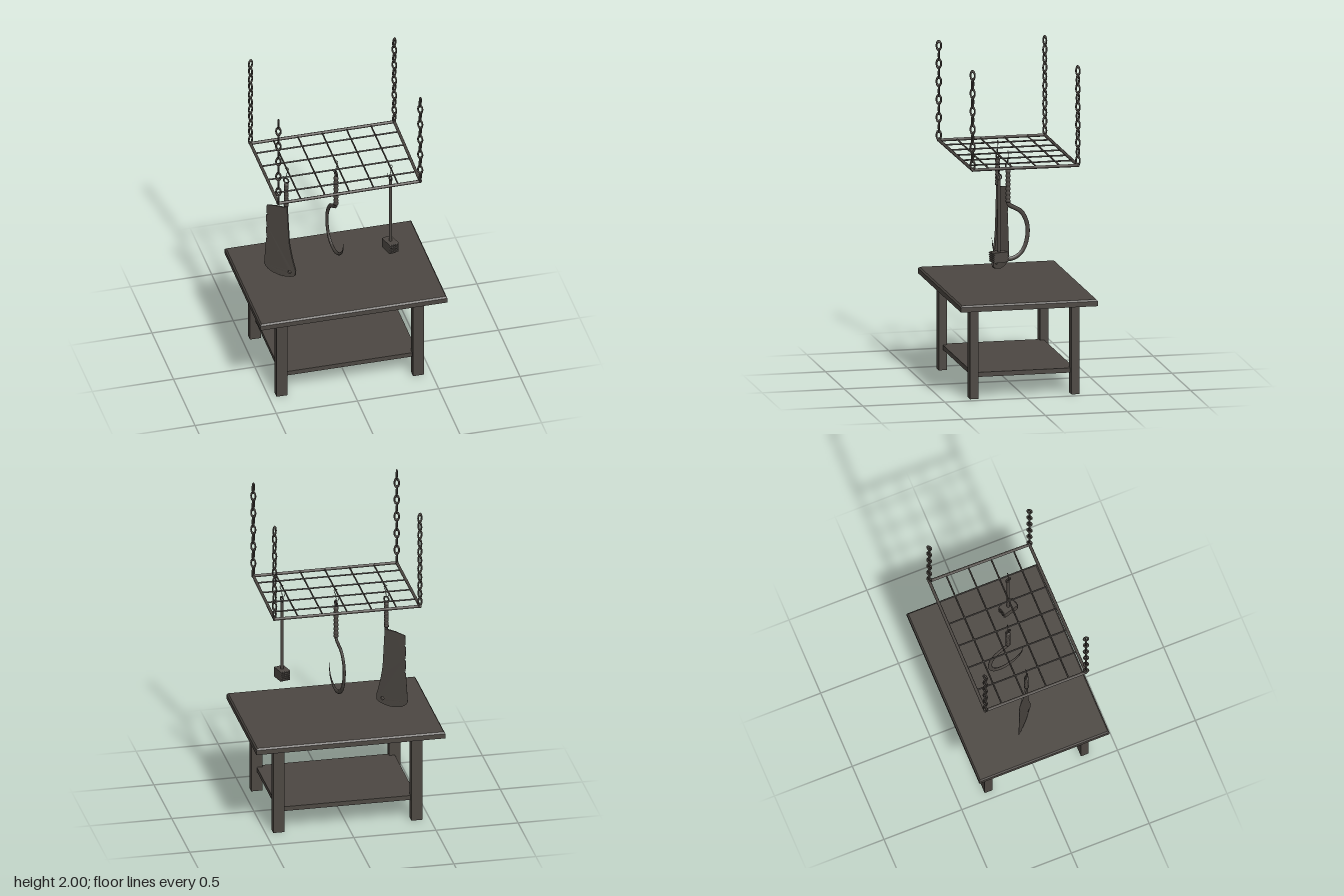
import * as THREE from 'three';

const dark = new THREE.MeshStandardMaterial({ color: 0x4c4742, side: THREE.DoubleSide });

function add(parent, name, geometry, x = 0, y = 0, z = 0) {
  const mesh = new THREE.Mesh(geometry, dark);
  mesh.name = name;
  mesh.position.set(x, y, z);
  parent.add(mesh);
  return mesh;
}

function group(parent, name, x = 0, y = 0, z = 0, yaw = 0) {
  const g = new THREE.Group();
  g.name = name;
  g.position.set(x, y, z);
  g.rotation.y = yaw;
  parent.add(g);
  return g;
}

// Round bar between two points
function bar(parent, name, a, b, radius) {
  const from = new THREE.Vector3(...a), to = new THREE.Vector3(...b);
  const dir = to.clone().sub(from);
  const mesh = add(parent, name, new THREE.CylinderGeometry(radius, radius, dir.length(), 8));
  mesh.position.copy(from).add(to).multiplyScalar(0.5);
  mesh.quaternion.setFromUnitVectors(new THREE.Vector3(0, 1, 0), dir.normalize());
}

// Tube with an oval section that tapers to a point
function taperedTube(curve, segments, sides, width, thickness) {
  const pos = [], index = [];
  for (let i = 0; i <= segments; i++) {
    const t = i / segments, p = curve.getPointAt(t), d = curve.getTangentAt(t);
    const s = t < 0.7 ? 1 : Math.max(0.02, 1 - (t - 0.7) / 0.3);
    for (let j = 0; j < sides; j++) {
      const a = (j / sides) * Math.PI * 2;
      const r = Math.cos(a) * width * s;
      pos.push(p.x - d.y * r, p.y + d.x * r, Math.sin(a) * thickness * s);
      if (i < segments) {
        const k = i * sides + j, n = i * sides + (j + 1) % sides;
        index.push(k, k + sides, n, n, k + sides, n + sides);
      }
    }
  }
  const g = new THREE.BufferGeometry();
  g.setAttribute('position', new THREE.Float32BufferAttribute(pos, 3));
  g.setIndex(index);
  g.computeVertexNormals();
  return g;
}

// Ribbed grip hanging below a ring
function ribbedHandle(parent, bottom, top) {
  const pts = [new THREE.Vector2(0, bottom), new THREE.Vector2(0.015, bottom), new THREE.Vector2(0.015, bottom + 0.012)];
  const ribs = 7, step = (top - bottom - 0.02) / ribs;
  for (let i = 0; i < ribs; i++) {
    const y = bottom + 0.014 + i * step;
    pts.push(new THREE.Vector2(0.011, y), new THREE.Vector2(0.0145, y + step * 0.3), new THREE.Vector2(0.0145, y + step * 0.7));
  }
  pts.push(new THREE.Vector2(0.009, top), new THREE.Vector2(0, top));
  add(parent, 'handle', new THREE.LatheGeometry(pts, 10));
}

function hangingRing(parent, y = 1.31) {
  add(parent, 'hangingRing', new THREE.TorusGeometry(0.016, 0.005, 6, 14), 0, y, 0);
}

// Thin wire hook joining a rack bar to a tool ring
function wireHook(parent, x, z) {
  const pts = [[-0.018, 1.345], [-0.014, 1.328], [-0.004, 1.328], [0, 1.345], [0.004, 1.37],
    [0.012, 1.393], [0.004, 1.403], [-0.008, 1.395]];
  const curve = new THREE.CatmullRomCurve3(pts.map(([a, b]) => new THREE.Vector3(a, b, 0)));
  add(parent, 'wireHook', new THREE.TubeGeometry(curve, 24, 0.002, 5), x, 0, z);
}

function buildTable(root) {
  const table = group(root, 'table');
  const top = new THREE.BoxGeometry(1.15, 0.04, 0.835, 1, 2, 1);
  const p = top.attributes.position;
  for (let i = 0; i < p.count; i++) {
    // Chamfered upper edge
    if (Math.abs(p.getY(i)) < 0.001) p.setY(i, 0.01);
    else if (p.getY(i) > 0) p.setXYZ(i, p.getX(i) * 0.986, p.getY(i), p.getZ(i) * 0.98);
  }
  const flat = top.toNonIndexed();
  flat.computeVertexNormals();
  add(table, 'tableTop', flat, 0, 0.576, 0);
  add(table, 'lowerShelf', new THREE.BoxGeometry(0.84, 0.028, 0.62), 0, 0.14, 0);
  for (const sx of [-1, 1]) for (const sz of [-1, 1])
    add(table, 'tableLeg', new THREE.BoxGeometry(0.068, 0.56, 0.05), sx * 0.42, 0.28, sz * 0.309);
}

function buildRack(root) {
  const rack = group(root, 'hangingRack');
  const y = 1.39;
  const corners = [[-0.44, -0.325], [0.445, -0.325], [0.435, 0.315], [-0.44, 0.322]];
  corners.forEach(([x, z], i) => {
    const [nx, nz] = corners[(i + 1) % 4];
    bar(rack, 'frameBar', [x, y, z], [nx, y, nz], 0.0095);
    add(rack, 'frameCorner', new THREE.SphereGeometry(0.011, 8, 6), x, y, z);
    // Chain of alternately turned links
    const chain = group(rack, 'chain', x, 0, z, 0.5 + i * 0.25);
    for (let k = 0; k < 11; k++) {
      const link = add(chain, 'chainLink', new THREE.TorusGeometry(0.014, 0.0055, 6, 14), 0, 1.419 + k * 0.0546, 0);
      link.geometry.scale(1, 1.8, 1);
      link.rotation.y = k % 2 ? Math.PI / 2 : 0;
    }
  });
  for (let i = -2; i <= 2; i++) bar(rack, 'gridBar', [i * 0.15, y, -0.325], [i * 0.15, y, 0.318], 0.005);
  for (const z of [-0.218, -0.077, 0.068, 0.212]) bar(rack, 'gridBar', [-0.44, y, z], [0.44, y, z], 0.005);
}

function buildCleaver(root) {
  const cleaver = group(root, 'cleaver', -0.305, 0, -0.006, -0.715);
  const s = new THREE.Shape();
  s.moveTo(0.008, 1.115);
  s.lineTo(-0.06, 1.112);
  s.lineTo(-0.128, 1.1);
  // Nicked cutting edge
  for (const y of [1.03, 0.94, 0.86]) {
    s.lineTo(-0.131, y + 0.008);
    s.lineTo(-0.12, y);
    s.lineTo(-0.133, y - 0.004);
  }
  s.lineTo(-0.146, 0.67);
  s.quadraticCurveTo(-0.125, 0.618, -0.03, 0.617);
  s.quadraticCurveTo(0.04, 0.622, 0.062, 0.645);
  s.lineTo(0.064, 0.68);
  s.quadraticCurveTo(0.036, 0.77, 0.022, 0.87);
  s.lineTo(0.008, 1.115);
  const hole = new THREE.Path();
  hole.absarc(0.024, 0.66, 0.011, 0, Math.PI * 2, true);
  s.holes.push(hole);
  const blade = new THREE.ExtrudeGeometry(s, { depth: 0.012, bevelEnabled: false, curveSegments: 6 });
  blade.translate(0, 0, -0.006);
  const p = blade.attributes.position;
  // Thin the blade toward its cutting edge
  for (let i = 0; i < p.count; i++)
    p.setZ(i, p.getZ(i) * THREE.MathUtils.clamp((p.getX(i) + 0.15) / 0.14, 0.12, 1));
  blade.computeVertexNormals();
  add(cleaver, 'cleaverBlade', blade);
  add(cleaver, 'cleaverTang', new THREE.BoxGeometry(0.016, 0.06, 0.011), 0, 1.12, 0);
  ribbedHandle(cleaver, 1.13, 1.295);
  hangingRing(cleaver);
  wireHook(root, -0.303, -0.006);
}

function buildMeatHook(root) {
  const hook = group(root, 'meatHook', 0, 0, 0, -1.39);
  const pts = [[0, 1.11], [-0.005, 1.075], [-0.035, 1.056], [-0.085, 1.025], [-0.12, 0.96], [-0.127, 0.89], [-0.105, 0.805],
    [-0.065, 0.76], [-0.005, 0.742], [0.055, 0.765], [0.092, 0.81], [0.106, 0.885]];
  const curve = new THREE.CatmullRomCurve3(pts.map(([x, y]) => new THREE.Vector3(x, y, 0)));
  add(hook, 'hookCurve', taperedTube(curve, 48, 8, 0.0135, 0.0085));
  ribbedHandle(hook, 1.09, 1.295);
  hangingRing(hook);
  wireHook(root, 0, 0);
}

function buildMallet(root) {
  const mallet = group(root, 'meatMallet', 0.302, 0, 0.124, -1.307);
  add(mallet, 'malletRod', new THREE.CylinderGeometry(0.0095, 0.0095, 0.46, 10), 0, 1.065, 0);
  hangingRing(mallet);
  add(mallet, 'malletHead', new THREE.BoxGeometry(0.088, 0.062, 0.062), 0, 0.826, 0);
  // Pyramid teeth on both striking faces
  const cell = 0.062 / 5;
  for (const side of [-1, 1]) for (let i = -2; i <= 2; i++) for (let j = -2; j <= 2; j++) {
    const tooth = new THREE.ConeGeometry(cell * Math.SQRT1_2, 0.012, 4).toNonIndexed();
    tooth.rotateY(Math.PI / 4);
    tooth.rotateZ(-side * Math.PI / 2);
    tooth.computeVertexNormals();
    add(mallet, 'malletTooth', tooth, side * 0.05, 0.826 + i * cell, j * cell);
  }
  wireHook(root, 0.302, 0.124);
}

export function createModel() {
  const root = new THREE.Group();
  root.name = 'butcherTableWithRack';
  buildTable(root);
  buildRack(root);
  buildCleaver(root);
  buildMeatHook(root);
  buildMallet(root);
  return root;
}
